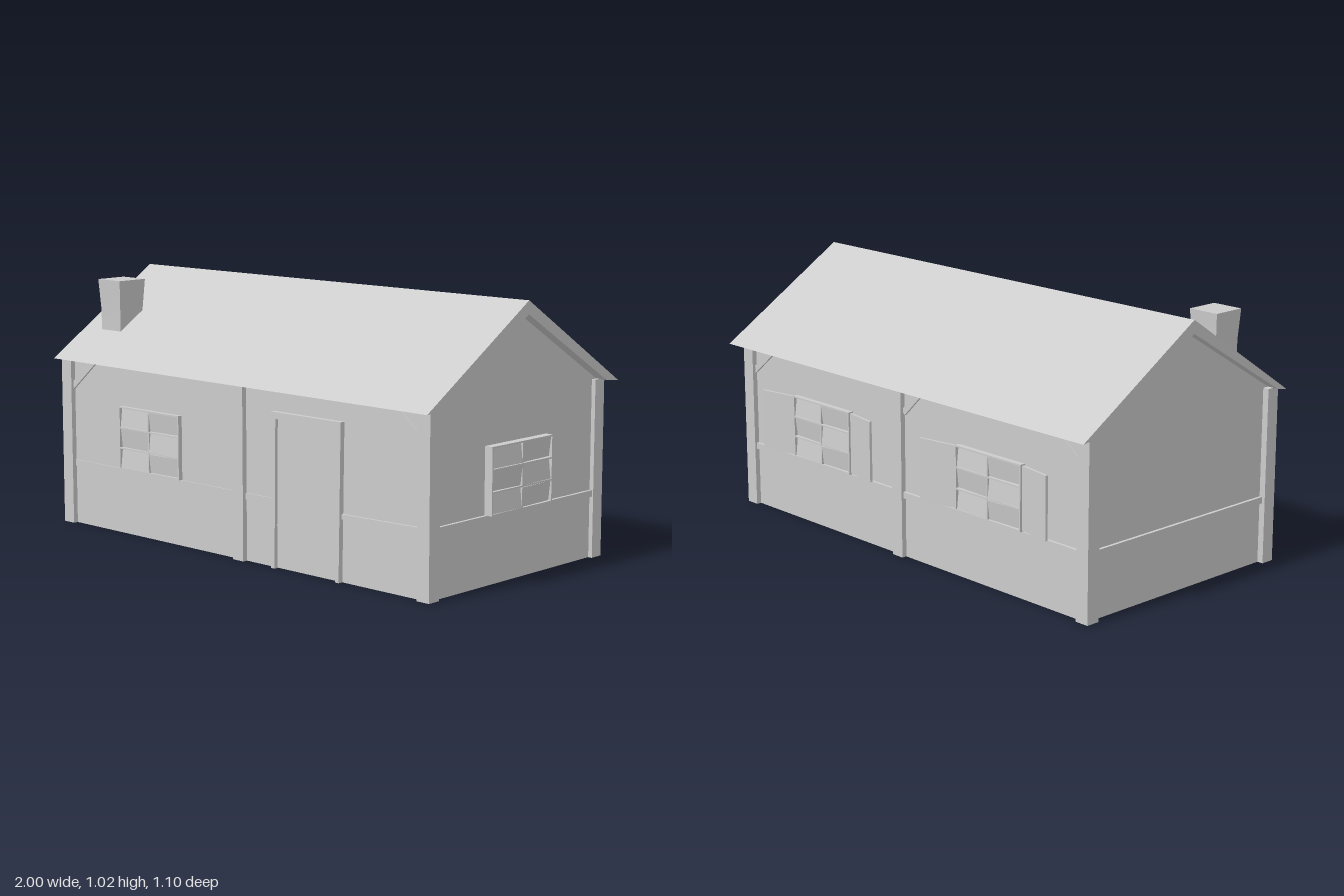
import * as THREE from 'three';

const mat = new THREE.MeshStandardMaterial({ color: 0xcccccc, side: THREE.DoubleSide });

function add(parent, name, geometry) {
  const mesh = new THREE.Mesh(geometry, mat);
  mesh.name = name;
  parent.add(mesh);
  return mesh;
}

// Box given by its min/max corners
function box(parent, name, x0, x1, y0, y1, z0, z1) {
  const mesh = add(parent, name, new THREE.BoxGeometry(x1 - x0, y1 - y0, z1 - z0));
  mesh.position.set((x0 + x1) / 2, (y0 + y1) / 2, (z0 + z1) / 2);
  return mesh;
}

// Square beam between two points in an xy plane
function beam(parent, name, x0, y0, x1, y1, z, thick, depth) {
  const mesh = add(parent, name, new THREE.BoxGeometry(Math.hypot(x1 - x0, y1 - y0), thick, depth));
  mesh.position.set((x0 + x1) / 2, (y0 + y1) / 2, z);
  mesh.rotation.z = Math.atan2(y1 - y0, x1 - x0);
  return mesh;
}

const polygon = (pts) => new THREE.Shape(pts.map(([x, y]) => new THREE.Vector2(x, y)));

// Six-pane window in the local xy plane, facing +z, optionally with open shutters
function makeWindow(name, w, shutters) {
  const g = new THREE.Group();
  g.name = name;
  const h = 0.25, t = 0.006, cw = w / 2, rh = h / 3;
  box(g, 'windowBack', -w / 2, w / 2, -h / 2, h / 2, -0.02, -0.005);
  for (const s of [-1, 0, 1]) {
    const x = s * (w / 2 - t / 2);
    box(g, 'windowUpright', x - t / 2, x + t / 2, -h / 2, h / 2, -0.02, 0.014);
  }
  for (let i = 0; i <= 3; i++) {
    const y = -h / 2 + t / 2 + (i * (h - t)) / 3;
    box(g, 'windowBar', -w / 2, w / 2, y - t / 2, y + t / 2, -0.02, 0.014);
  }
  // Slightly tilted panes
  for (let c = 0; c < 2; c++) for (let r = 0; r < 3; r++) {
    const pane = add(g, 'pane', new THREE.BoxGeometry(cw - t, rh - t, 0.006));
    pane.position.set((c - 0.5) * cw, (r - 1) * rh, 0.004);
    pane.rotation.x = (r + c) % 2 ? 0.12 : -0.12;
    pane.rotation.y = c ? 0.03 : -0.03;
  }
  if (shutters) for (const s of [-1, 1]) {
    const sw = s < 0 ? 0.175 : 0.145;
    const hinge = new THREE.Group();
    hinge.name = 'shutter';
    hinge.position.set((s * w) / 2, 0, 0);
    hinge.rotation.y = -s * 0.16;
    const board = box(hinge, 'shutterBoard', 0, sw, -0.12, 0.12, -0.004, 0.006);
    board.position.x *= s;
    g.add(hinge);
  }
  return g;
}

export function createModel() {
  const house = new THREE.Group();
  house.name = 'house';
  const wx = 0.955, wz = 0.48, eave = 0.68;

  // Long walls and gable walls
  for (const s of [-1, 1]) {
    const long = add(house, s > 0 ? 'frontWall' : 'backWall', new THREE.PlaneGeometry(wx * 2, eave));
    long.position.set(0, eave / 2, s * wz);
    if (s < 0) long.rotation.y = Math.PI;
    const shape = polygon([[-wz, 0], [wz, 0], [wz, eave], [0, 0.966], [-wz, eave]]);
    const gable = add(house, s > 0 ? 'leftGableWall' : 'rightGableWall', new THREE.ShapeGeometry(shape));
    gable.position.x = s * wx;
    gable.rotation.y = (s * Math.PI) / 2;
  }

  // Chevron roof, the front eave pulled in a little at one end
  const chevron = polygon([[-0.55, 0.67], [-0.474, 0.679], [0, 0.965], [0.474, 0.679], [0.55, 0.67], [0, 1.015]]);
  const roof = new THREE.ExtrudeGeometry(chevron, { depth: 2, bevelEnabled: false });
  roof.translate(0, 0, -1).rotateY(Math.PI / 2);
  const p = roof.attributes.position;
  for (let i = 0; i < p.count; i++) {
    if (p.getX(i) < 0 && p.getZ(i) > 0.5) p.setZ(i, 0.525);
  }
  roof.computeVertexNormals();
  add(house, 'roof', roof);

  // Posts and rails
  for (const s of [-1, 1]) {
    const z0 = s > 0 ? 0.445 : -0.5, z1 = z0 + 0.055;
    box(house, 'cornerPost', -0.98, -0.923, 0, eave, z0, z1);
    box(house, 'cornerPost', 0.915, 0.972, 0, eave, z0, z1);
    box(house, 'middlePost', 0.002, 0.058, 0, eave, z0, z1);
    const x = s * 0.955;
    box(house, 'endRail', x - 0.012, x + 0.012, 0.235, 0.26, -0.445, 0.445);
  }
  box(house, 'backRail', -0.923, 0.915, 0.235, 0.26, -0.492, -0.465);
  box(house, 'frontRail', -0.923, 0.002, 0.235, 0.26, 0.467, 0.485);
  box(house, 'frontRail', 0.058, 0.205, 0.235, 0.26, 0.467, 0.485);
  beam(house, 'frontRail', 0.55, 0.243, 0.915, 0.25, 0.478, 0.018, 0.024);

  // Diagonal braces under the eaves
  for (const z of [-0.478, 0.478]) {
    beam(house, 'brace', -0.93, 0.56, -0.8, 0.67, z, 0.025, 0.02);
    beam(house, 'brace', 0.925, 0.56, 0.79, 0.67, z, 0.025, 0.02);
  }
  beam(house, 'brace', 0.002, 0.57, -0.1, 0.67, -0.478, 0.025, 0.02);
  beam(house, 'brace', 0.058, 0.57, 0.16, 0.67, -0.478, 0.025, 0.02);

  // Door with crooked jambs
  box(house, 'door', 0.225, 0.545, 0.005, 0.565, 0.465, 0.487);
  beam(house, 'doorJamb', 0.214, 0, 0.221, 0.575, 0.482, 0.018, 0.036);
  beam(house, 'doorJamb', 0.537, 0, 0.546, 0.575, 0.482, 0.018, 0.036);
  box(house, 'doorLintel', 0.205, 0.555, 0.562, 0.587, 0.464, 0.5);

  // Windows
  const front = makeWindow('frontWindow', 0.345, false);
  front.position.set(-0.467, 0.386, 0.484);
  const end = makeWindow('endWindow', 0.35, false);
  end.position.set(0.978, 0.386, 0.01);
  end.rotation.y = Math.PI / 2;
  house.add(front, end);
  for (const x of [0.48, -0.472]) {
    const back = makeWindow('backWindow', 0.345, true);
    back.position.set(x, 0.386, -0.488);
    back.rotation.y = Math.PI;
    house.add(back);
  }

  // Chimney, flared towards the top
  const chimney = new THREE.BoxGeometry(0.13, 0.225, 0.135, 1, 2, 1);
  const c = chimney.attributes.position;
  for (let i = 0; i < c.count; i++) {
    const k = c.getY(i) > 0.01 ? 1 : c.getY(i) > -0.01 ? 0.89 : 0.86;
    if (k < 0.88) c.setY(i, -0.1125);
    else if (k < 1) c.setY(i, 0.0);
    c.setX(i, c.getX(i) * k);
    c.setZ(i, c.getZ(i) * k);
  }
  chimney.computeVertexNormals();
  add(house, 'chimney', chimney).position.set(-0.84, 0.8725, 0.297);

  return house;
}
